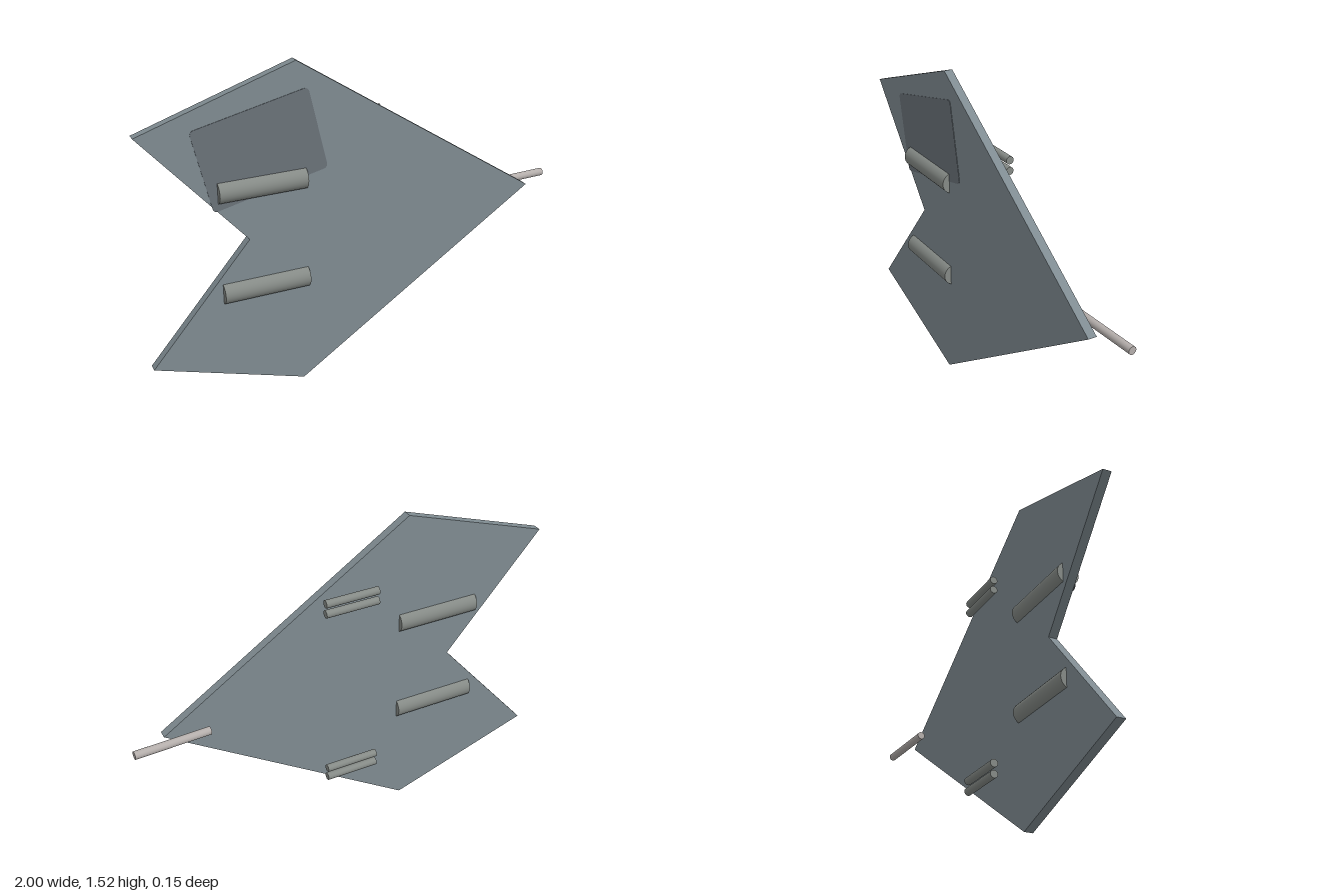
import * as THREE from 'three';

const paint = (color) => new THREE.MeshStandardMaterial({ color });

export function createModel() {
  const model = new THREE.Group();
  const midY = 0.76;
  const hullPaint = paint(0x7f8b91);
  const podPaint = paint(0x858a86);
  const probePaint = paint(0xb4aeab);
  const panelPaint = paint(0x6a7279);
  panelPaint.side = THREE.DoubleSide;

  const add = (name, geometry, material) => {
    const mesh = new THREE.Mesh(geometry, material);
    mesh.name = name;
    model.add(mesh);
    return mesh;
  };

  // Capped rod between two points
  const rod = (name, a, b, radius, material) => {
    const from = new THREE.Vector3(...a), to = new THREE.Vector3(...b);
    const dir = to.clone().sub(from);
    const mesh = add(name, new THREE.CylinderGeometry(radius, radius, dir.length(), 32), material);
    mesh.position.copy(from).add(to).multiplyScalar(0.5);
    mesh.quaternion.setFromUnitVectors(new THREE.Vector3(0, 1, 0), dir.normalize());
  };

  // Flat arrowhead hull with a notched tail
  const outline = [[-1, -0.532], [-0.308, -0.76], [0.85, 0], [-0.308, 0.76], [-1, 0.532], [-0.54, 0]];
  const hullShape = new THREE.Shape(outline.map(([x, y]) => new THREE.Vector2(x, y + midY)));
  add('hull', new THREE.ExtrudeGeometry(hullShape, { depth: 0.04, bevelEnabled: false }), hullPaint)
    .position.z = 0.002;

  // Thin tilted panel with rounded corners on the front face
  const w = 0.265, h = 0.19, r = 0.02;
  const panelShape = new THREE.Shape();
  panelShape.absarc(w - r, h - r, r, 0, Math.PI / 2);
  panelShape.absarc(r - w, h - r, r, Math.PI / 2, Math.PI);
  panelShape.absarc(r - w, r - h, r, Math.PI, Math.PI * 1.5);
  panelShape.absarc(w - r, r - h, r, Math.PI * 1.5, Math.PI * 2);
  const panel = add('hatchPanel',
    new THREE.ExtrudeGeometry(panelShape, { depth: 0.003, bevelEnabled: false }), panelPaint);
  panel.position.set(-0.474, 1.157, 0.041);
  panel.rotation.z = 0.222;

  // Mirrored engine pods and twin barrels
  for (const [side, s] of [['upper', 1], ['lower', -1]]) {
    const podY = midY + s * 0.237;
    rod(side + 'EnginePod', [-0.67, podY, 0.026], [-0.275, podY, 0.026], 0.05, podPaint);
    for (const [place, offset] of [['inner', 0.419], ['outer', 0.468]]) {
      const y = midY + s * offset;
      rod(side + place + 'Barrel', [-0.14, y, -0.044], [0.113, y, -0.044], 0.018, podPaint);
    }
  }

  // Slightly tilted nose probe
  rod('noseProbe', [0.66, midY, -0.043], [1, midY, -0.057], 0.018, probePaint);

  return model;
}
